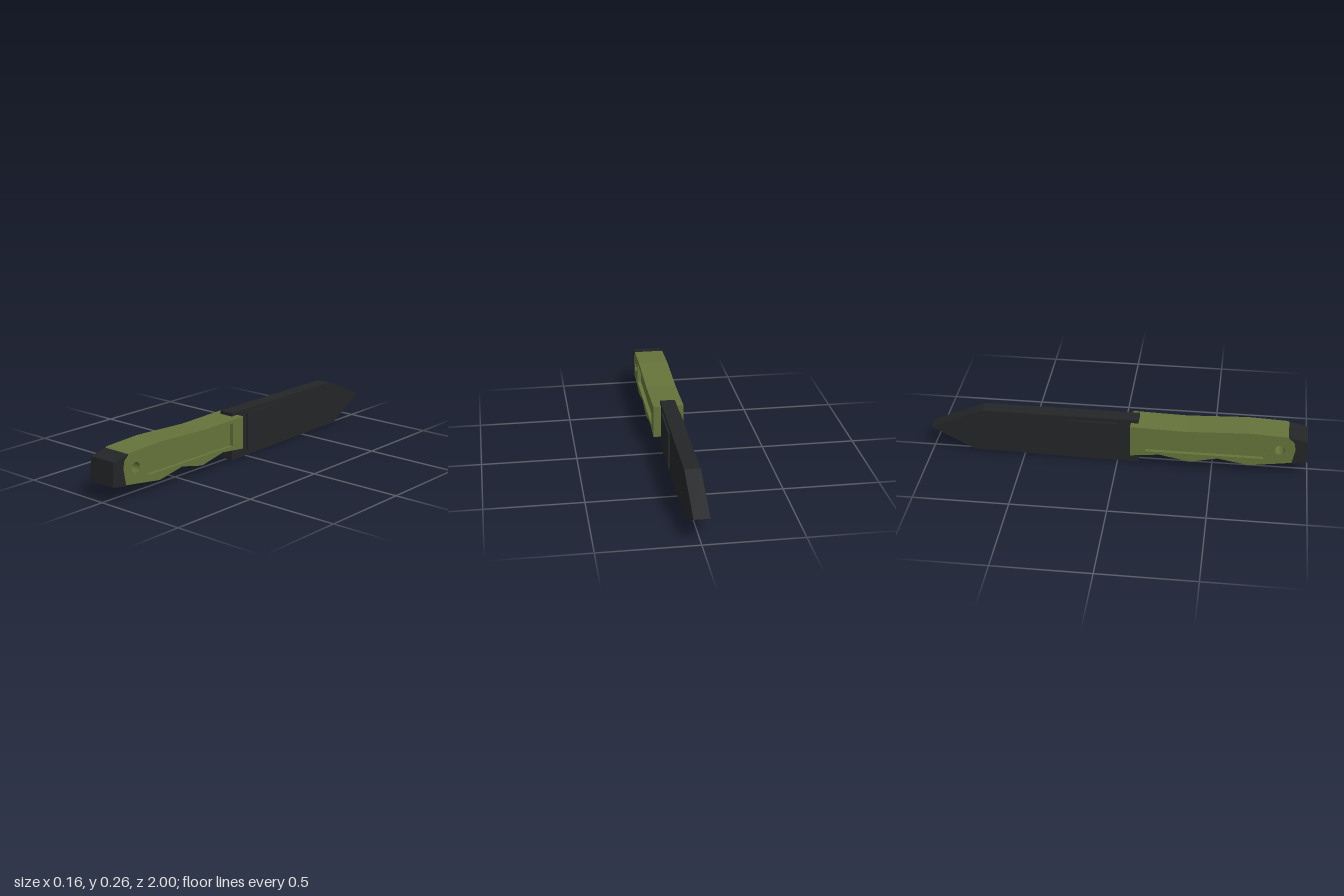
import * as THREE from 'three';

const green = new THREE.MeshStandardMaterial({ color: 0x66733a, flatShading: true });
const black = new THREE.MeshStandardMaterial({ color: 0x232527, flatShading: true });

const toPoints = (list) => list.map(([z, y]) => new THREE.Vector2(z, y));

// Extrudes a side profile of [z, y] points across x, centred on cx
function slab(name, profile, width, material, holes = [], cx = 0) {
  const shape = new THREE.Shape(toPoints(profile));
  for (const hole of holes) shape.holes.push(new THREE.Path(toPoints(hole)));
  const geometry = new THREE.ExtrudeGeometry(shape, { depth: width, bevelEnabled: false });
  geometry.translate(0, 0, -width / 2).rotateY(-Math.PI / 2).translate(cx, 0, 0);
  const mesh = new THREE.Mesh(geometry, material);
  mesh.name = name;
  return mesh;
}

const rect = (z0, z1, y0, y1) => [[z0, y0], [z1, y0], [z1, y1], [z0, y1]];

function circle(z, y, r, sides) {
  return Array.from({ length: sides }, (_, i) => {
    const a = (i / sides) * Math.PI * 2;
    return [z + r * Math.cos(a), y + r * Math.sin(a)];
  });
}

export function createModel() {
  const group = new THREE.Group();
  group.name = 'knife';

  // Blade, with a raised block near its root
  group.add(slab('blade', [
    [0.11, 0], [0.11, 0.257], [-0.72, 0.257], [-1, 0.136], [-0.77, 0.014],
  ], 0.08, black));
  group.add(slab('bladeBlock', rect(-0.26, -0.005, 0.034, 0.235), 0.1, black));

  // Handle: a core and two side plates that leave a recessed panel
  const grip = [
    [0.07, 0.064], [0.225, 0.081], [0.385, 0.049], [0.53, 0.081], [0.69, 0.052],
    [0.915, 0.084], [0.93, 0.165], [0.922, 0.205], [0.885, 0.238],
    [0.68, 0.247], [0.52, 0.24], [0.355, 0.233], [0.07, 0.24],
  ];
  const cordHole = circle(0.85, 0.157, 0.027, 16);
  const panel = rect(0.15, 0.77, 0.097, 0.218);
  const handle = new THREE.Group();
  handle.name = 'handle';
  handle.add(slab('handleCore', grip, 0.122, green, [cordHole]));
  for (const side of [-1, 1]) {
    handle.add(slab(side > 0 ? 'leftGripPlate' : 'rightGripPlate',
      grip, 0.02, green, [cordHole, panel], side * 0.071));
  }
  group.add(handle);

  // Pommel
  group.add(slab('pommel', [
    [0.89, 0.082], [0.92, 0.078], [1, 0.093], [0.99, 0.215], [0.9, 0.232], [0.89, 0.232],
  ], 0.156, black));

  return group;
}
